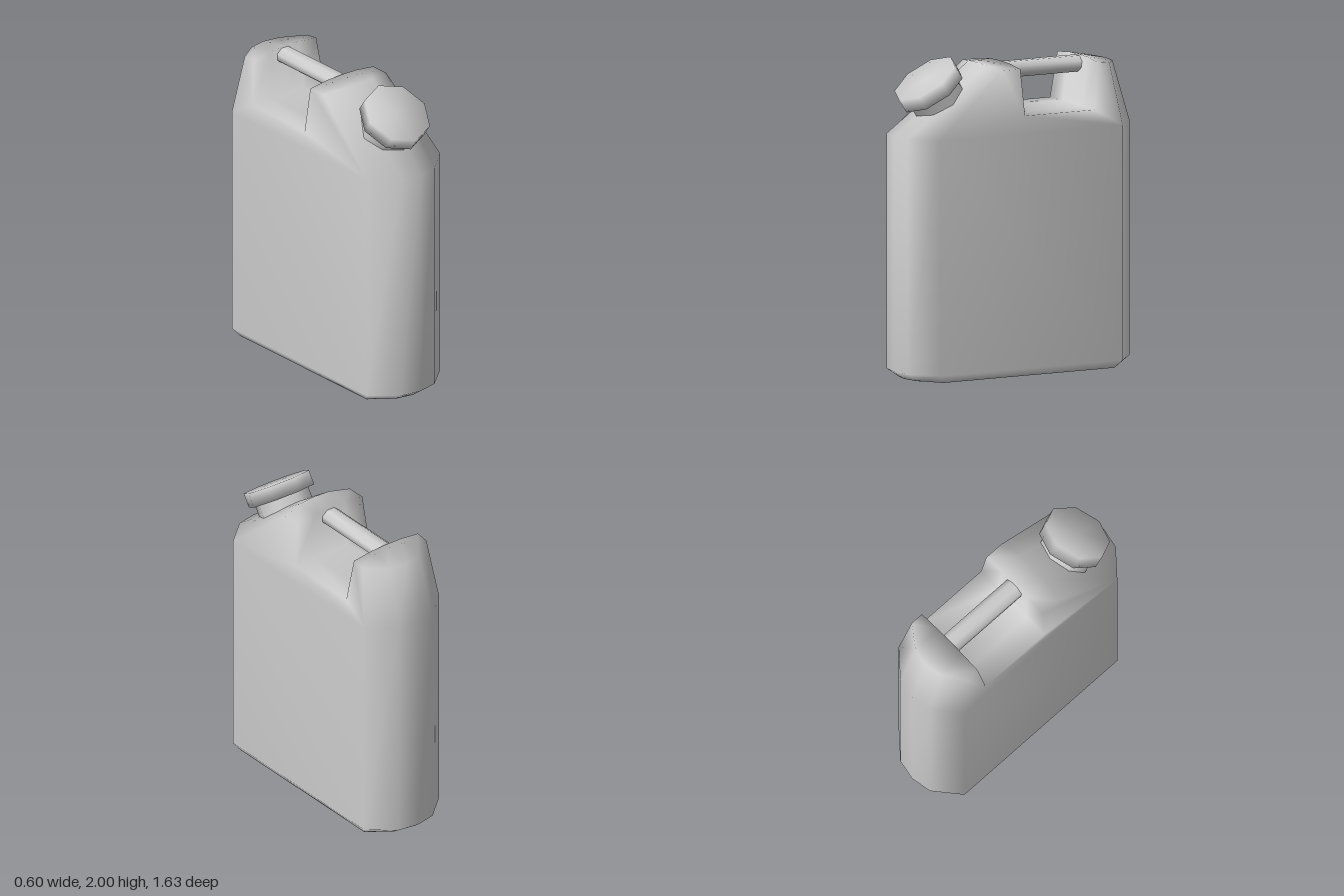
import * as THREE from 'three';
import { mergeVertices } from 'three/addons/utils/BufferGeometryUtils.js';

const material = new THREE.MeshStandardMaterial({ color: 0xcccccc });

function addMesh(parent, name, geometry) {
  const mesh = new THREE.Mesh(geometry, material);
  mesh.name = name;
  parent.add(mesh);
  return mesh;
}

// Weld a geometry so its normals run smoothly over every edge
function weld(geometry) {
  geometry.deleteAttribute('normal');
  geometry.deleteAttribute('uv');
  const welded = mergeVertices(geometry, 1e-4);
  welded.computeVertexNormals();
  return welded;
}

// Side profile as [x, y, z] for the centre (t = 0), shoulder (1) and outer (2) columns
function profile(t) {
  const end = [0.815, 0.79, 0.65][t];
  const foot = [0.745, 0.72, 0.61][t];
  const top = [1.95, 1.947, 1.93][t];
  const x = (outer) => [0, 0.45 * outer, outer][t];
  return [
    [x(0.265), 0, foot],
    [x(0.3), 0.05, end],
    [x(0.3), 1.53, end],
    [x(0.255), top, [0.22, 0.215, 0.18][t]],
    [x(0.255), top, 0.055],
    [x(0.288), 1.64, 0.04],
    [x(0.288), 1.64, -0.46],
    [x(0.255), top, -0.495],
    [x(0.255), [1.91, 1.91, 1.92][t], [-0.7, -0.68, -0.58][t]],
    [x(0.3), 1.53, -end],
    [x(0.3), 0.05, -end],
    [x(0.265), 0, -foot],
  ];
}

function bodyGeometry() {
  const columns = [-2, -1, 0, 1, 2].map((c) =>
    profile(Math.abs(c)).map(([x, y, z]) => [Math.sign(c) * x, y, z]));
  const n = columns[0].length;
  const index = [];
  const quad = (a, b, c, d) => index.push(a, b, c, a, c, d);

  // Skin running round the profile
  for (let i = 0; i < 4; i++) {
    for (let j = 0; j < n; j++) {
      const k = (j + 1) % n;
      quad(i * n + j, (i + 1) * n + j, (i + 1) * n + k, i * n + k);
    }
  }
  // Flat sides: foot, wall, front shoulder, saddle, rear shoulder
  const panels = [[0, 1, 10, 11], [1, 2, 9, 10], [2, 3, 4, 5], [2, 5, 6, 9], [6, 7, 8, 9]];
  for (const p of panels) {
    quad(...p);
    quad(...p.map((v) => v + 4 * n).reverse());
  }
  const geometry = new THREE.BufferGeometry();
  geometry.setAttribute('position', new THREE.Float32BufferAttribute(columns.flat(2), 3));
  geometry.setIndex(index);
  geometry.computeVertexNormals();
  return geometry;
}

export function createModel() {
  const model = new THREE.Group();
  model.name = 'jerrycan';

  addMesh(model, 'body', bodyGeometry());

  // Carrying bar between the two shoulders
  const bar = new THREE.CylinderGeometry(1, 1, 0.58, 8, 1, true);
  bar.rotateY(Math.PI / 8).rotateX(Math.PI / 2).scale(0.07, 0.054, 1);
  addMesh(model, 'handle', weld(bar)).position.set(0, 1.892, -0.22);

  // Tilted spout with screw cap
  const spout = new THREE.Group();
  spout.name = 'spout';
  spout.position.set(0, 1.8, 0.54);
  spout.rotation.x = 0.6;
  model.add(spout);
  addMesh(spout, 'neck', weld(new THREE.CylinderGeometry(0.18, 0.18, 0.16, 8, 1, true))).position.y = -0.07;
  addMesh(spout, 'cap', weld(new THREE.CylinderGeometry(0.221, 0.221, 0.093, 8))).position.y = 0.0465;

  return model;
}
